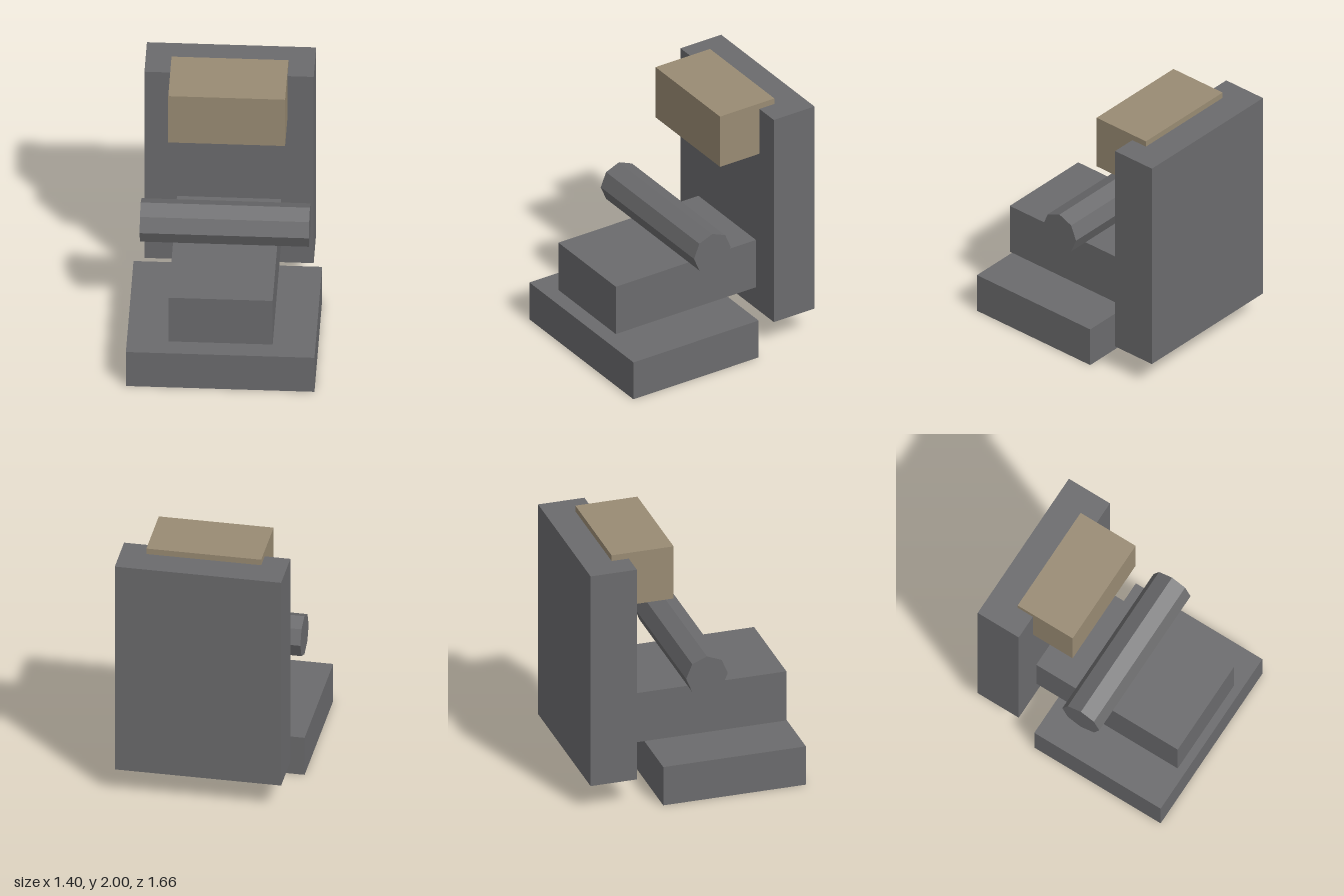
import * as THREE from 'three';

export function createModel() {
  const model = new THREE.Group();
  model.name = 'blockChair';

  const grey = new THREE.MeshStandardMaterial({ color: 0x6b6b6d });
  grey.name = 'dark grey';
  const tan = new THREE.MeshStandardMaterial({ color: 0x998b73 });
  tan.name = 'tan';

  // Box centred on x, given its width and its y and z limits
  function addBlock(name, width, [y0, y1], [z0, z1], material) {
    const mesh = new THREE.Mesh(new THREE.BoxGeometry(width, y1 - y0, z1 - z0), material);
    mesh.position.set(0, (y0 + y1) / 2, (z0 + z1) / 2);
    mesh.name = name;
    model.add(mesh);
  }

  addBlock('base', 1.404, [0, 0.318], [-0.285, 0.83], grey);
  addBlock('seat', 0.776, [0.392, 0.8], [-0.5, 0.78], grey);
  addBlock('backrest', 1.26, [0.21, 1.953], [-0.83, -0.468], grey);
  addBlock('headrest', 0.87, [1.567, 2], [-0.602, -0.117], tan);

  // Octagonal bar across the lap
  const barMaterial = grey.clone();
  barMaterial.flatShading = true;
  const bar = new THREE.Mesh(
    new THREE.CylinderGeometry(0.163, 0.163, 1.26, 8).toNonIndexed(), grey);
  bar.geometry.computeVertexNormals(); // flat facets
  bar.rotation.z = Math.PI / 2;
  bar.position.set(0, 0.985, 0.08);
  bar.name = 'lapBar';
  model.add(bar);

  return model;
}
